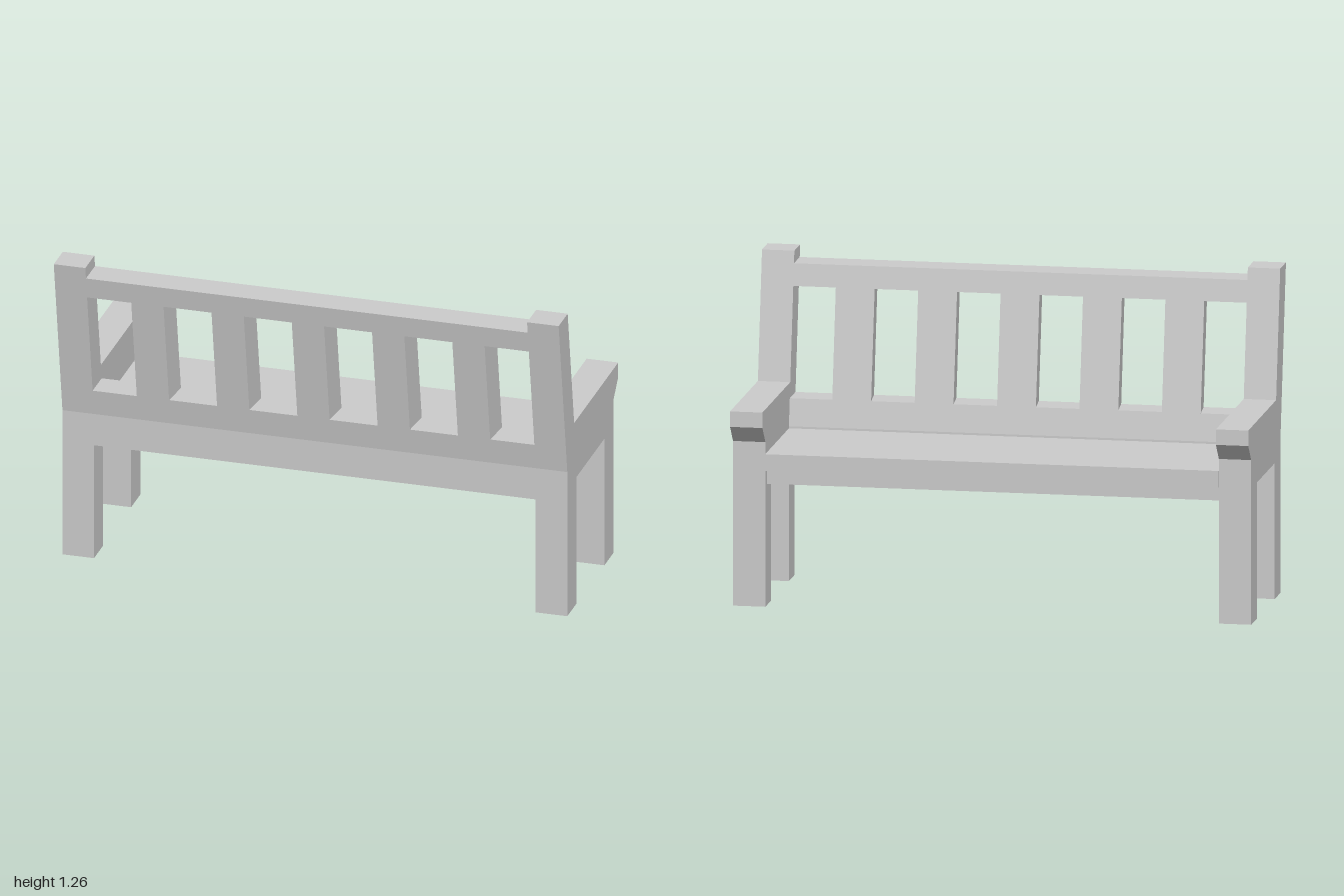
import * as THREE from 'three';

const material = new THREE.MeshStandardMaterial({ color: 0xcccccc, flatShading: true });
const INNER = 0.875;                                  // half width between the end frames
const LEAN = 0.175;                                   // z shift of the backrest per unit of height
const DEPTH = 0.12;                                   // thickness of posts and backrest
const backZ = (y) => 0.28 + LEAN * Math.max(0, y - 0.6);
const innerZ = (y) => 0.28 + LEAN * (y - 0.6) - DEPTH;

function add(group, name, geometry) {
  const mesh = new THREE.Mesh(geometry, material);
  mesh.name = name;
  group.add(mesh);
}

// Extrude a side profile of [z, y] points along x
function extrudeX(points, x0, x1) {
  const shape = new THREE.Shape(points.map(([z, y]) => new THREE.Vector2(z, y)));
  return new THREE.ExtrudeGeometry(shape, { depth: x1 - x0, bevelEnabled: false })
    .rotateY(-Math.PI / 2)
    .translate(x1, 0, 0);
}

// Slat slightly narrower at the outer face, sheared to follow the backrest
function slatGeometry(y0, y1) {
  const wide = 0.075, narrow = 0.064;
  const shape = new THREE.Shape([
    new THREE.Vector2(-narrow, 0), new THREE.Vector2(narrow, 0),
    new THREE.Vector2(wide, DEPTH), new THREE.Vector2(-wide, DEPTH),
  ]);
  const geo = new THREE.ExtrudeGeometry(shape, { depth: y1 - y0, bevelEnabled: false })
    .rotateX(-Math.PI / 2)
    .translate(0, y0, 0);
  const pos = geo.attributes.position;
  for (let i = 0; i < pos.count; i++) pos.setZ(i, pos.getZ(i) + backZ(pos.getY(i)));
  geo.computeVertexNormals();
  return geo;
}

export function createModel() {
  const bench = new THREE.Group();
  bench.name = 'bench';

  // End frames: legs, armrest and leaning back post in one profile
  const frame = [
    [0.28, 0], [0.28, 0.6], [backZ(1.257), 1.257], [innerZ(1.257), 1.257],
    [innerZ(0.765), 0.765], [-0.395, 0.765], [-0.395, 0.705], [-0.333, 0.638],
    [-0.333, 0], [-0.212, 0], [-0.212, 0.527], [0.16, 0.527], [0.16, 0],
  ];
  add(bench, 'rightEndFrame', extrudeX(frame, -1, -INNER));
  add(bench, 'leftEndFrame', extrudeX(frame, INNER, 1));

  // Seat board with a recessed base beneath it
  add(bench, 'seat', extrudeX([[-0.337, 0.527], [0.16, 0.527], [0.16, 0.592], [-0.337, 0.592]], -INNER, INNER));
  add(bench, 'seatBase', extrudeX([[-0.3, 0.47], [0.16, 0.47], [0.16, 0.527], [-0.3, 0.527]], -INNER, INNER));

  // Backrest rails
  add(bench, 'lowerBackRail', extrudeX([
    [0.16, 0.47], [0.28, 0.47], [0.28, 0.6], [backZ(0.705), 0.705], [innerZ(0.705), 0.705], [0.16, 0.6],
  ], -INNER, INNER));
  add(bench, 'upperBackRail', extrudeX([
    [innerZ(1.125), 1.125], [backZ(1.125), 1.125], [backZ(1.21), 1.21], [innerZ(1.21), 1.21],
  ], -INNER, INNER));

  // Five evenly spaced slats
  for (let i = -2; i <= 2; i++) {
    add(bench, 'backSlat', slatGeometry(0.705, 1.125).translate(i * 0.318, 0, 0));
  }
  return bench;
}
